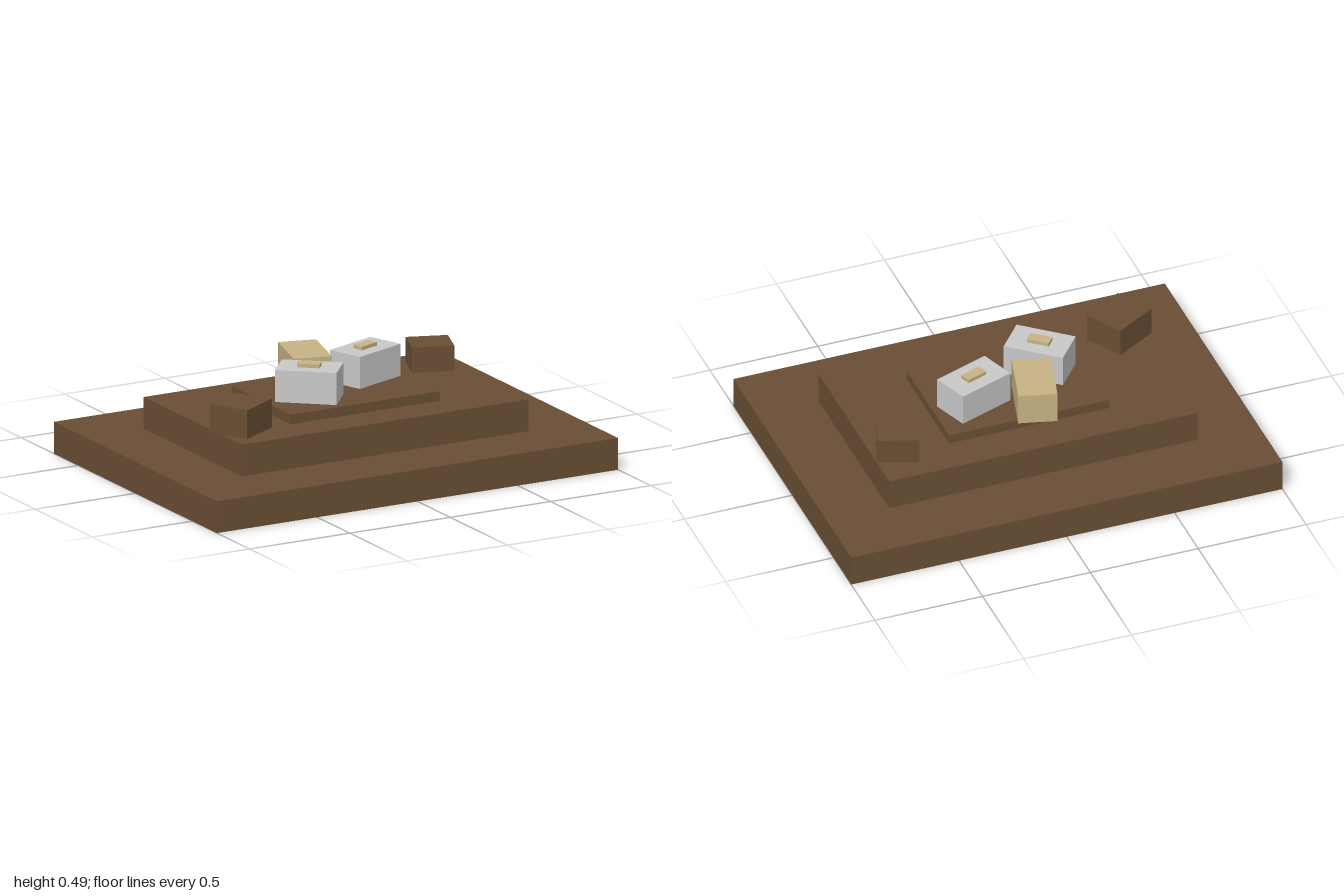
import * as THREE from 'three';

export function createModel() {
  const model = new THREE.Group();
  model.name = 'ingotMound';

  const material = (name, color) => {
    const m = new THREE.MeshStandardMaterial({ color });
    m.name = name;
    return m;
  };
  const earth = material('earth brown', 0x694e34);
  const silver = material('silver', 0xc8c8c8);
  const gold = material('pale gold', 0xc6b283);

  // Box resting on a given height, turned about the vertical axis
  const block = (name, mat, [w, h, d], [x, bottom, z], degrees = 0) => {
    const mesh = new THREE.Mesh(new THREE.BoxGeometry(w, h, d), mat);
    mesh.name = name;
    mesh.position.set(x, bottom + h / 2, z);
    mesh.rotation.y = THREE.MathUtils.degToRad(degrees);
    model.add(mesh);
  };

  // Stepped mound
  block('baseTier', earth, [2, 0.143, 1.429], [0, 0, 0]);
  block('middleTier', earth, [1.429, 0.143, 0.857], [0, 0.143, 0]);
  block('topTier', earth, [0.743, 0.043, 0.514], [0, 0.286, 0]);

  // Loose clods on the middle tier
  block('rightClod', earth, [0.214, 0.129, 0.186], [-0.603, 0.286, 0.229], 30);
  block('leftClod', earth, [0.186, 0.114, 0.171], [0.598, 0.286, -0.228], -20);

  // Ingots on the top tier, the silver ones carrying a small gold plaque
  const ingotSize = [0.271, 0.144, 0.171];
  const silverIngots = [
    ['right', -0.174, 0.071, -40],
    ['left', 0.186, -0.071, 20],
  ];
  for (const [side, x, z, turn] of silverIngots) {
    block(side + 'SilverIngot', silver, ingotSize, [x, 0.329, z], turn);
    block(side + 'Plaque', gold, [0.1, 0.016, 0.05], [x, 0.473, z], turn);
  }
  block('goldIngot', gold, ingotSize, [-0.058, 0.329, -0.171], 75);

  return model;
}
